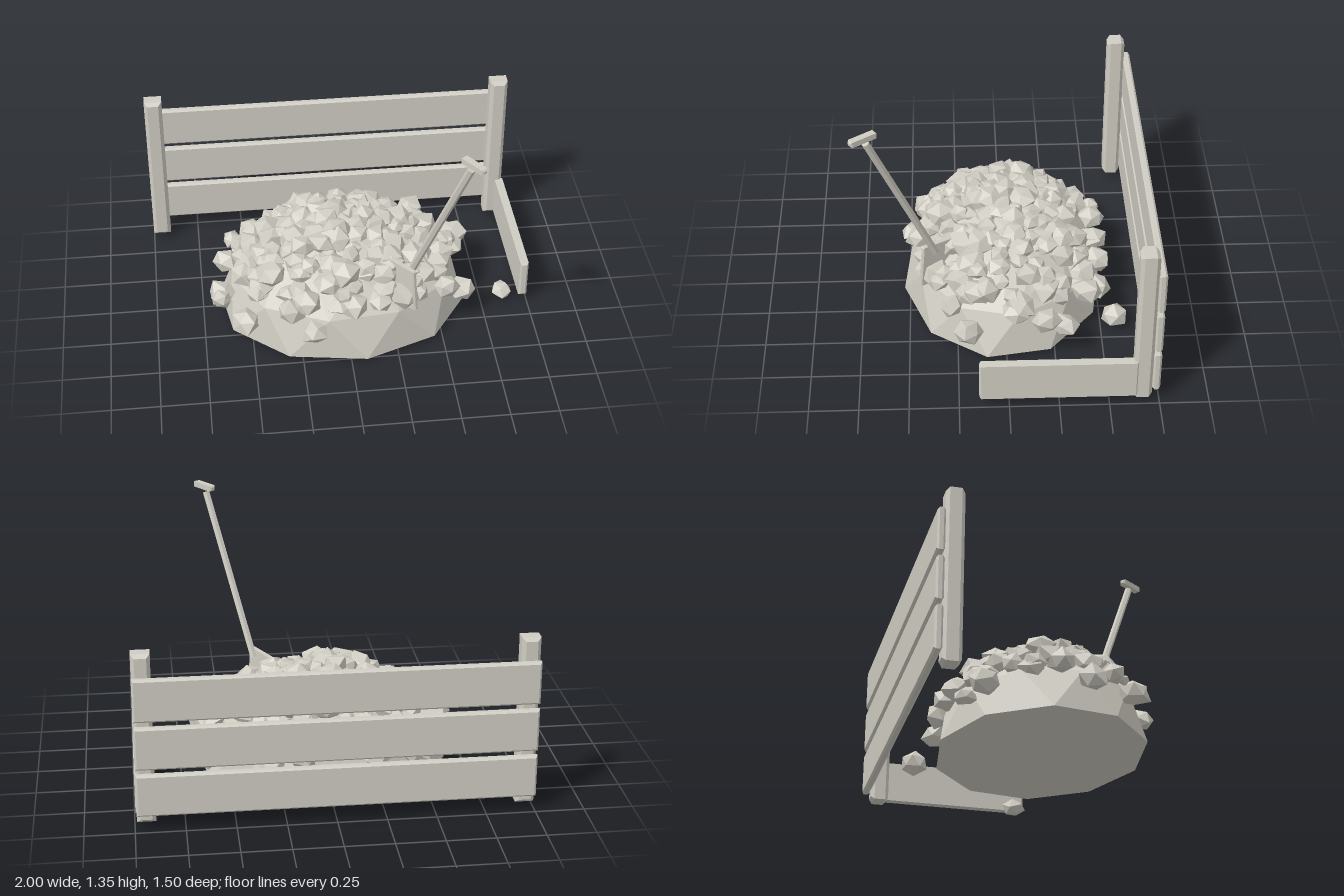
import * as THREE from 'three';
import { mergeGeometries } from 'three/addons/utils/BufferGeometryUtils.js';

const stone = new THREE.MeshStandardMaterial({ color: 0xcfccc2 });
stone.name = 'paleGrey';

// Small seeded random number generator
function seeded(seed) {
  return () => {
    seed = (seed * 16807) % 2147483647;
    return seed / 2147483647;
  };
}

// Box with a flat chamfer on every edge, centred on its origin
function chamferBox(w, h, d, c) {
  const x = w / 2 - c, y = h / 2 - c;
  const shape = new THREE.Shape([[-x, -y], [x, -y], [x, y], [-x, y]].map(p => new THREE.Vector2(...p)));
  return new THREE.ExtrudeGeometry(shape, {
    depth: d - 2 * c, bevelEnabled: true, bevelSize: c, bevelThickness: c, bevelSegments: 1,
  }).translate(0, 0, -d / 2 + c);
}

function addPart(group, name, geometry, x = 0, y = 0, z = 0) {
  const mesh = new THREE.Mesh(geometry, stone);
  mesh.name = name;
  mesh.position.set(x, y, z);
  group.add(mesh);
  return mesh;
}

// Faceted dome: staggered rings of ten corners, a tip and a flat underside
const RX = 0.665, RZ = 0.535, SIDES = 10;
function moundGeometry() {
  const rings = [[1, 0.025], [0.9, 0.25], [0.6, 0.42], [0.3, 0.5]];
  const pt = (k, i) => {
    const a = ((i + k / 2 + 0.2) / SIDES) * Math.PI * 2;
    return [Math.sin(a) * RX * rings[k][0], rings[k][1], Math.cos(a) * RZ * rings[k][0]];
  };
  const tip = [0, 0.53, 0], under = [0, 0.025, 0], v = [];
  for (let i = 0; i < SIDES; i++) {
    for (let k = 0; k < rings.length - 1; k++) {
      v.push(...pt(k, i), ...pt(k, i + 1), ...pt(k + 1, i));
      v.push(...pt(k, i + 1), ...pt(k + 1, i + 1), ...pt(k + 1, i));
    }
    v.push(...pt(3, i), ...pt(3, i + 1), ...tip);
    v.push(...under, ...pt(0, i + 1), ...pt(0, i));
  }
  const g = new THREE.BufferGeometry();
  g.setAttribute('position', new THREE.Float32BufferAttribute(v, 3));
  g.computeVertexNormals();
  return g;
}

// Height of the dome under a point
function moundHeight(x, z) {
  const r = Math.hypot(x / RX, z / RZ);
  if (r > 0.9) return Math.max(0.04, 0.25 - (r - 0.9) * 2.2);
  return r > 0.6 ? 0.42 - (r - 0.6) * 0.57 : 0.53 - r * 0.18;
}

// Irregular low-poly rock: an icosahedron with its corners pushed in and out
function rock(rand, x, y, z, r) {
  const g = new THREE.IcosahedronGeometry(r, 0);
  const p = g.attributes.position, scales = new Map(), v = new THREE.Vector3();
  for (let i = 0; i < p.count; i++) {
    v.fromBufferAttribute(p, i);
    const key = v.toArray().map(n => Math.round(n * 1e4)).join();
    if (!scales.has(key)) scales.set(key, 0.78 + rand() * 0.38);
    v.multiplyScalar(scales.get(key));
    p.setXYZ(i, v.x, v.y, v.z);
  }
  g.rotateX(rand() * 6.28).rotateY(rand() * 6.28).scale(1, 0.8, 1);
  g.computeVertexNormals();
  return g.translate(x, y, z);
}

export function createModel() {
  const model = new THREE.Group();
  model.name = 'rubblePile';
  const rand = seeded(4217);

  // Mound
  addPart(model, 'mound', moundGeometry());

  // Rocks around the rim: x, y, z, radius
  const rim = [
    [0.4, 0.075, -0.57, 0.08], [0.3, 0.2, -0.48, 0.08], [0.6, 0.19, -0.3, 0.075], [0.64, 0.25, -0.2, 0.08],
    [0.6, 0.28, -0.05, 0.08], [0.63, 0.18, 0.2, 0.08], [0.53, 0.27, 0.28, 0.07], [-0.19, 0.19, 0.48, 0.075],
    [-0.31, 0.28, 0.4, 0.08], [-0.53, 0.18, 0.34, 0.08], [-0.65, 0.19, 0.1, 0.08], [-0.61, 0.28, -0.05, 0.08],
    [-0.52, 0.26, -0.18, 0.07], [-0.46, 0.2, -0.39, 0.08], [-0.22, 0.25, -0.49, 0.08], [0, 0.28, -0.48, 0.08],
    [0.15, 0.25, -0.49, 0.08], [-0.05, 0.29, 0.38, 0.08], [0.36, 0.3, 0.34, 0.065], [-0.65, 0.22, 0.2, 0.06],
    [0.42, 0.27, -0.42, 0.08], [0.1, 0.4, 0.28, 0.08], [-0.45, 0.31, 0.22, 0.08], [0.5, 0.33, 0.15, 0.08],
  ];
  const rocks = rim.map(a => rock(rand, ...a));

  // Rocks spread evenly over the dome on a spiral
  const COUNT = 125;
  for (let i = 0; i < COUNT; i++) {
    const a = i * 2.39996 + rand() * 0.3, r = 0.87 * Math.sqrt((i + 0.5) / COUNT);
    const x = Math.sin(a) * r * RX, z = Math.cos(a) * r * RZ - 0.02;
    rocks.push(rock(rand, x, moundHeight(x, z) + rand() * 0.045 - 0.01, z, 0.055 + rand() * 0.035));
  }
  addPart(model, 'rocks', mergeGeometries(rocks));

  // Loose stones on the ground
  addPart(model, 'looseStone', rock(rand, 0, 0, 0, 0.058), -0.57, 0.06, -0.51);
  addPart(model, 'looseStone', rock(rand, 0, 0, 0, 0.06), 0.87, 0.048, 0.08);

  // Back fence: two posts and three boards
  for (const x of [-0.953, 0.942]) addPart(model, 'post', chamferBox(0.095, 0.89, 0.095, 0.018), x, 0.485, -0.665);
  for (const y of [0.203, 0.453, 0.705]) {
    addPart(model, 'backBoard', chamferBox(1.99, 0.222, 0.04, 0.01), -0.005, y, -0.73);
  }

  // Low side board
  addPart(model, 'sideBoard', chamferBox(0.045, 0.215, 0.79, 0.01), 0.973, 0.165, -0.245);

  // Shovel stuck in the pile
  const shovel = new THREE.Group();
  shovel.name = 'shovel';
  model.add(shovel);
  const from = new THREE.Vector3(0.325, 0.46, 0.355), to = new THREE.Vector3(0.546, 1.31, 0.67);
  const dir = to.clone().sub(from);
  const handle = addPart(shovel, 'handle', new THREE.CylinderGeometry(0.02, 0.02, dir.length(), 6).toNonIndexed());
  handle.geometry.computeVertexNormals();
  handle.position.copy(from).add(to).multiplyScalar(0.5);
  handle.quaternion.setFromUnitVectors(new THREE.Vector3(0, 1, 0), dir.normalize());
  const yaw = Math.atan2(dir.x, dir.z);
  const grip = addPart(shovel, 'grip', chamferBox(0.035, 0.03, 0.15, 0.008), 0.554, 1.34, 0.682);
  grip.rotation.y = yaw;
  const blade = addPart(shovel, 'blade', chamferBox(0.025, 0.24, 0.19, 0.006), 0.285, 0.37, 0.355);
  blade.rotation.set(-0.1, yaw, 0, 'YXZ');

  return model;
}
